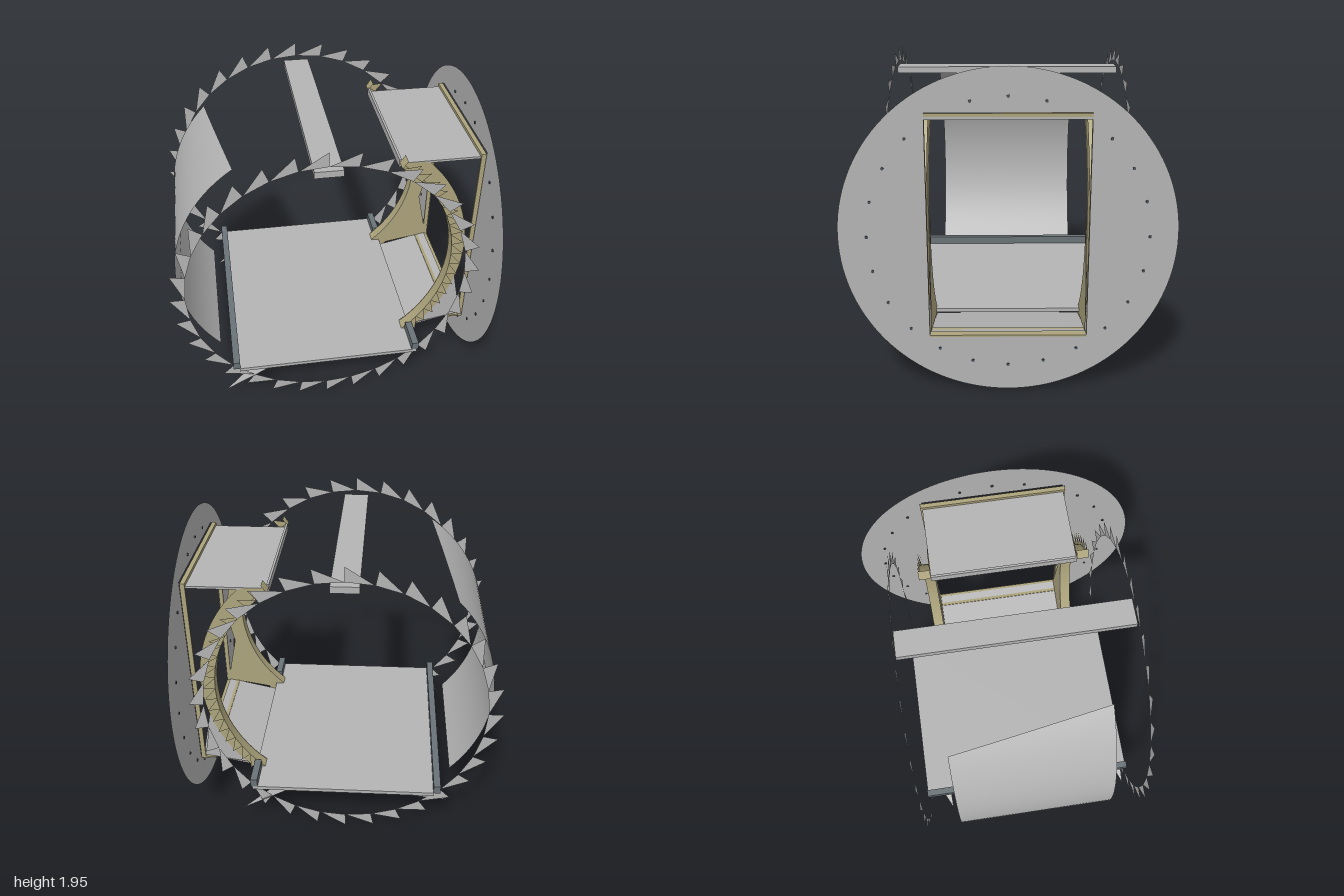
import * as THREE from 'three';

const CX = -0.025, CY = 0.98; // axis of the round frame
const RAD = Math.PI / 180;

export function createModel() {
  const group = new THREE.Group();
  const mat = (name, color) => {
    const m = new THREE.MeshStandardMaterial({ color, side: THREE.DoubleSide });
    m.name = name;
    return m;
  };
  const gray = mat('light gray', 0xb4b4b4);
  const khaki = mat('khaki', 0xada47c);
  const slate = mat('slate', 0x6a7378);
  const dark = mat('dark bolt', 0x484e56);

  const add = (name, geo, m) => {
    const mesh = new THREE.Mesh(geo, m);
    mesh.name = name;
    group.add(mesh);
    return mesh;
  };
  // Box given by its limits
  const box = (name, m, x0, x1, y0, y1, z0, z1) => {
    const b = add(name, new THREE.BoxGeometry(x1 - x0, y1 - y0, z1 - z0), m);
    b.position.set((x0 + x1) / 2, (y0 + y1) / 2, (z0 + z1) / 2);
  };
  // Loose triangles
  const triangles = (name, m, pts) => {
    const g = new THREE.BufferGeometry().setFromPoints(pts.map(p => new THREE.Vector3(...p)));
    g.computeVertexNormals();
    return add(name, g, m);
  };
  // Curved sheet from a rule f(u, v) -> [x, y, z]
  const sheet = (name, m, nu, nv, f) => {
    const g = new THREE.PlaneGeometry(1, 1, nu, nv);
    const p = g.attributes.position;
    for (let i = 0; i < p.count; i++) p.setXYZ(i, ...f(p.getX(i) + 0.5, p.getY(i) + 0.5));
    g.computeVertexNormals();
    return add(name, g, m);
  };
  const polar = (r, a, z) => [CX + r * Math.cos(a), CY + r * Math.sin(a), z];
  // Flat saw teeth around the axis
  const teeth = (name, m, r0, r1, from, to, n, z) => {
    const pts = [], step = (to - from) / n;
    for (let i = 0; i < n; i++) {
      const a = from + i * step;
      pts.push(polar(r0, a, z), polar(r1, a, z), polar(r0, a + step, z));
    }
    triangles(name, m, pts);
  };

  // Toothed end rings
  for (const z of [0.72, -0.72]) teeth('toothedRing', gray, 0.88, 0.975, 0, 2 * Math.PI, 32, z);

  // Floor, curbs and ceiling bar
  box('floor', gray, -0.61, 0.59, 0.32, 0.345, -0.745, 0.745);
  box('leftCurb', slate, -0.65, -0.605, 0.345, 0.4, -0.745, 0.745);
  box('rightCurb', slate, 0.555, 0.6, 0.345, 0.4, 0.54, 0.745);
  box('rightCurb', slate, 0.555, 0.6, 0.345, 0.4, -0.745, -0.54);
  box('ceilingBar', gray, -0.11, 0.06, 1.788, 1.83, -0.72, 0.72);

  // Curved side panel with a slanted top edge
  sheet('sidePanel', gray, 12, 32, (u, v) => {
    const top = THREE.MathUtils.lerp(135.5, 124.5, u), bottom = 222;
    return polar(0.935, (top + (bottom - top) * v) * RAD, u - 0.5);
  });

  // Pointed struts below the floor and small strips at the bottom of the rings
  for (const [z0, z1] of [[0.58, 0.73], [-0.73, -0.58]]) {
    triangles('rightStrut', gray, [[0.66, 0.14, z0], [0.36, 0.31, z0], [0.36, 0.31, z1]]);
    triangles('leftStrut', gray, [[-0.71, 0.14, z1], [-0.41, 0.31, z1], [-0.41, 0.31, z0]]);
    sheet('bottomStrip', gray, 1, 1, (u, v) => [-0.155, 0.09 + 0.04 * v, z0 + (z1 - z0) * u]);
  }

  // Doorway tunnel: side walls cut by the round frame
  const A = 56 * RAD, R0 = 0.845, R1 = 0.955;
  const wall = new THREE.Shape();
  wall.moveTo(0.97, 1.675);
  wall.absarc(CX, CY, R0, 55.3 * RAD, -A, true);
  wall.lineTo(0.97, 0.37);
  wall.closePath();
  const wallGeo = new THREE.ShapeGeometry(wall, 32);
  // Solid arc band, clipped level with the tunnel roof
  const bandPoint = (u, v, z) => {
    const p = polar(R0 + (R1 - R0) * v, (2 * u - 1) * A, z);
    p[1] = Math.min(p[1], 1.675);
    return p;
  };
  for (const s of [1, -1]) {
    add('tunnelWall', wallGeo, gray).position.z = s * 0.465;
    add('tunnelLining', wallGeo, khaki).position.z = s * 0.46;
    sheet('archBand', khaki, 32, 1, (u, v) => bandPoint(u, v, s * 0.47));
    sheet('archRim', khaki, 32, 1, (u, v) => polar(R0, (2 * u - 1) * A, s * (0.465 + 0.075 * v)));
    teeth('archTeeth', khaki, R0, R1 - 0.03, -A, A, 20, s * 0.54);
    for (const a of [A, -A])
      sheet('archEnd', khaki, 1, 1, (u, v) => polar(R0 + 0.06 * u, a, s * (0.465 + 0.075 * v)));
  }
  box('tunnelRoof', gray, 0.445, 0.985, 1.66, 1.675, -0.465, 0.465);
  box('roofLip', gray, 0.445, 0.46, 1.65, 1.7, -0.465, 0.465);
  sheet('tunnelBase', gray, 1, 1, (u, v) => [0.46 + 0.5 * u, 0.256 + 0.114 * u, 0.93 * v - 0.465]);

  // Khaki door frame behind the disc
  box('frameSill', khaki, 0.885, 0.985, 0.345, 0.358, -0.475, 0.475);
  box('frameHead', khaki, 0.955, 0.985, 1.675, 1.695, -0.475, 0.475);
  for (const s of [1, -1])
    box('frameJamb', khaki, 0.955, 0.985, 0.345, 1.695, s * 0.471 - 0.006, s * 0.471 + 0.006);

  // Round end disc with a rectangular opening
  const disc = new THREE.Shape().absarc(0, 0, 0.975, 0, 2 * Math.PI);
  const hole = new THREE.Path();
  hole.moveTo(-0.465, 0.35 - CY).lineTo(-0.465, 1.7 - CY);
  hole.lineTo(0.465, 1.7 - CY).lineTo(0.465, 0.35 - CY);
  hole.closePath();
  disc.holes.push(hole);
  const discMesh = add('endDisc', new THREE.ShapeGeometry(disc, 64), gray);
  discMesh.rotation.y = Math.PI / 2;
  discMesh.position.set(0.99, CY, 0);

  // Bolts around the disc, leaving out the two at the opening's upper corners
  const boltGeo = new THREE.CylinderGeometry(0.009, 0.009, 0.012, 8).rotateZ(Math.PI / 2);
  for (let i = 0; i < 24; i++) {
    if (i === 4 || i === 8) continue;
    const a = i * 15 * RAD;
    add('bolt', boltGeo, dark).position.set(0.99, CY + 0.812 * Math.sin(a), 0.812 * Math.cos(a));
  }
  return group;
}
